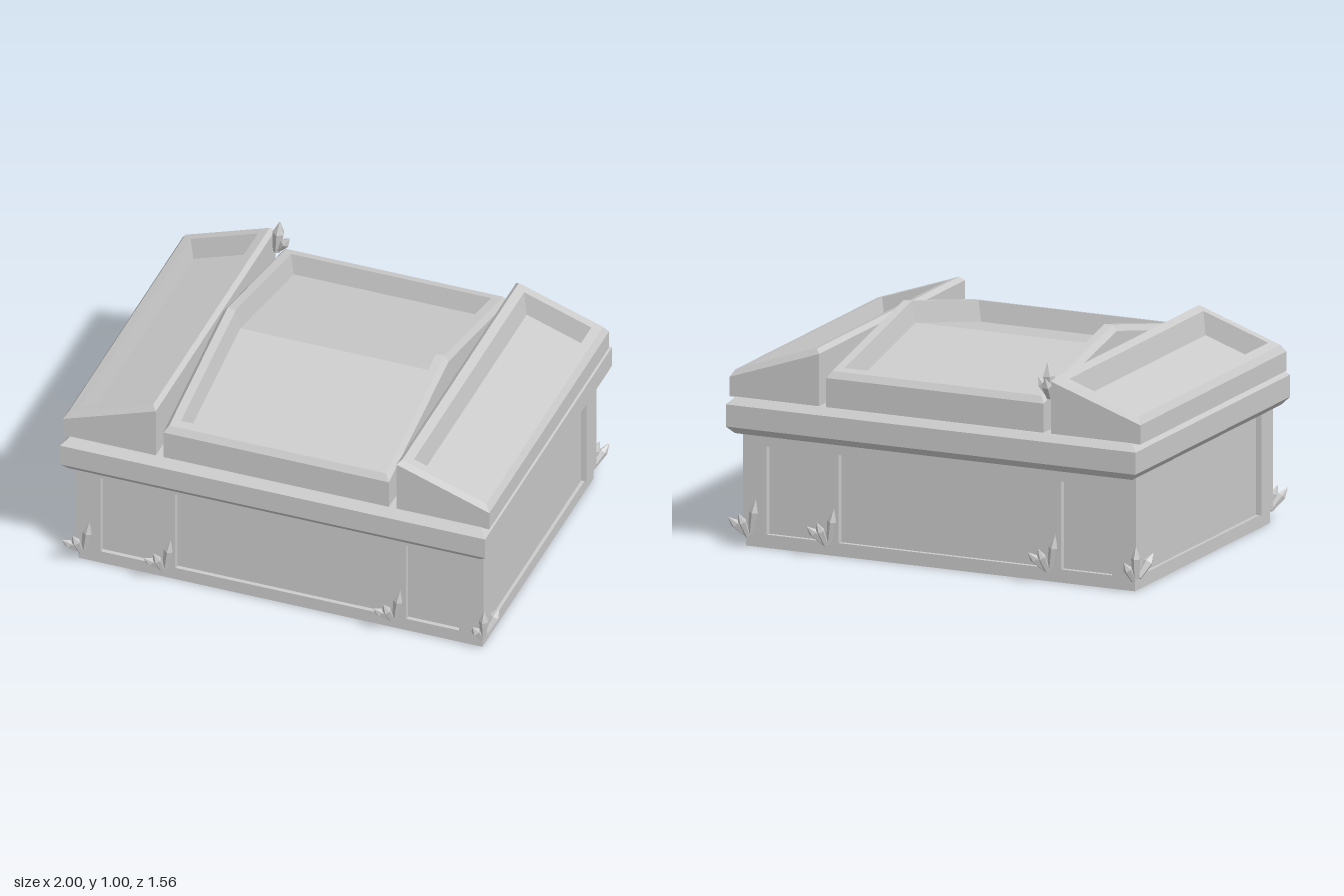
import * as THREE from 'three';

const stone = new THREE.MeshStandardMaterial({ color: 0xcccccc, flatShading: true });

function add(parent, geometry, name) {
  const mesh = new THREE.Mesh(geometry, stone);
  mesh.name = name;
  parent.add(mesh);
  return mesh;
}

function box(parent, name, x0, x1, y0, y1, z0, z1) {
  const mesh = add(parent, new THREE.BoxGeometry(x1 - x0, y1 - y0, z1 - z0), name);
  mesh.position.set((x0 + x1) / 2, (y0 + y1) / 2, (z0 + z1) / 2);
}

// Stacked rectangular rings, each [inset, height(x, z)], split at z = 0 for a ridge
function ringSolid(x0, x1, halfZ, rings) {
  const pos = [], index = [];
  for (const [inset, height] of rings) {
    const a = x0 + inset, b = x1 - inset, d = halfZ - inset;
    for (const [x, z] of [[a, d], [b, d], [b, 0], [b, -d], [a, -d], [a, 0]]) pos.push(x, height(x, z), z);
  }
  for (let r = 0; r < rings.length - 1; r++) {
    for (let i = 0; i < 6; i++) {
      const a = r * 6 + i, b = r * 6 + (i + 1) % 6;
      index.push(a, b, b + 6, a, b + 6, a + 6);
    }
  }
  const t = (rings.length - 1) * 6;
  for (const [a, b, c, d] of [[0, 1, 2, 5], [5, 2, 3, 4]]) {
    index.push(t + a, t + b, t + c, t + a, t + c, t + d);
    index.push(a, c, b, a, d, c);
  }
  const g = new THREE.BufferGeometry();
  g.setAttribute('position', new THREE.Float32BufferAttribute(pos, 3));
  g.setIndex(index);
  const flat = g.toNonIndexed();
  flat.computeVertexNormals();
  return flat;
}

// Bevelled frame around a sunken panel that follows the slope of top(x, z)
function tray(x0, x1, top) {
  const drop = (d) => (x, z) => top(x, z) - d;
  return ringSolid(x0, x1, 0.735, [
    [0, () => 0.68], [0, drop(0.025)], [0.02, drop(0)], [0.06, drop(0)], [0.08, drop(0.095)],
  ]);
}

// Five-sided pointed shard from base to tip
function crystal(parent, base, tip, radius) {
  const a = new THREE.Vector3(...base), dir = new THREE.Vector3(...tip).sub(a);
  const h = dir.length();
  const profile = [[0, 0], [radius * 0.6, 0], [radius, h * 0.62], [0, h]].map((p) => new THREE.Vector2(...p));
  const mesh = add(parent, new THREE.LatheGeometry(profile, 5), 'crystal');
  mesh.position.copy(a);
  mesh.quaternion.setFromUnitVectors(new THREE.Vector3(0, 1, 0), dir.normalize());
}

export function createModel() {
  const model = new THREE.Group();

  // Plinth and recessed walls
  box(model, 'plinth', -0.945, 0.945, 0, 0.06, -0.68, 0.68);
  box(model, 'walls', -0.93, 0.93, 0.06, 0.53, -0.66, 0.66);

  // Front and back frames: pilasters joined by a top rail, open at the bottom
  const outline = [[-0.955, 0.06], [-0.84, 0.06]];
  for (const [a, b] of [[-0.84, -0.59], [-0.49, 0.49], [0.59, 0.84]]) {
    outline.push([a, 0.06], [a, 0.46], [b, 0.46], [b, 0.06]);
  }
  outline.push([0.955, 0.06], [0.955, 0.53], [-0.955, 0.53]);
  outline.splice(1, 1);
  const frame = new THREE.ExtrudeGeometry(
    new THREE.Shape(outline.map((p) => new THREE.Vector2(...p))), { depth: 0.04, bevelEnabled: false });
  add(model, frame, 'frontFrame').position.z = 0.65;
  add(model, frame, 'backFrame').position.z = -0.69;

  // Corner posts on the sides
  for (const x of [-0.9375, 0.9375]) {
    for (const z of [-0.61, 0.61]) {
      box(model, 'cornerPost', x - 0.0175, x + 0.0175, 0.06, 0.53, z - 0.04, z + 0.04);
    }
  }

  // Cornice slab, chamfered above and below
  const y = (v) => () => v;
  add(model, ringSolid(-0.995, 0.995, 0.778,
    [[0.03, y(0.52)], [0, y(0.553)], [0, y(0.653)], [0.03, y(0.682)]]), 'cornice');

  // Roof trays: a gabled centre and two outward slopes
  add(model, tray(-0.528, 0.528, (x, z) => 1 - 0.22 * Math.abs(z)), 'centreRoofTray');
  const slope = (x) => 0.935 - 0.346 * (Math.abs(x) - 0.585);
  add(model, tray(0.563, 0.998, slope), 'leftRoofTray');
  add(model, tray(-0.998, -0.563, slope), 'rightRoofTray');

  // Crystal clusters at the foot of each pilaster, repeated by a half turn
  for (const [name, turn] of [['frontCrystals', 0], ['backCrystals', Math.PI]]) {
    const group = new THREE.Group();
    group.name = name;
    group.rotation.y = turn;
    for (const x of [-0.535, 0.54, -0.915]) {
      crystal(group, [x, 0.06, 0.69], [x + 0.028, 0.22, 0.70], 0.022);
      crystal(group, [x - 0.01, 0.05, 0.70], [x - 0.035, 0.16, 0.745], 0.02);
      crystal(group, [x - 0.025, 0.055, 0.69], [x - 0.072, 0.145, 0.772], 0.02);
    }
    crystal(group, [0.955, 0.06, 0.69], [0.96, 0.21, 0.70], 0.022);
    crystal(group, [0.945, 0.05, 0.69], [0.92, 0.14, 0.74], 0.02);
    crystal(group, [0.945, 0.055, 0.645], [0.985, 0.155, 0.575], 0.024);
    model.add(group);
  }

  // Crystals growing from the gap at the back of the roof
  const roofCrystals = new THREE.Group();
  roofCrystals.name = 'roofCrystals';
  crystal(roofCrystals, [-0.545, 0.83, -0.70], [-0.53, 0.995, -0.70], 0.028);
  crystal(roofCrystals, [-0.545, 0.84, -0.71], [-0.55, 0.935, -0.765], 0.024);
  crystal(roofCrystals, [-0.54, 0.84, -0.70], [-0.48, 0.92, -0.69], 0.022);
  model.add(roofCrystals);

  return model;
}
